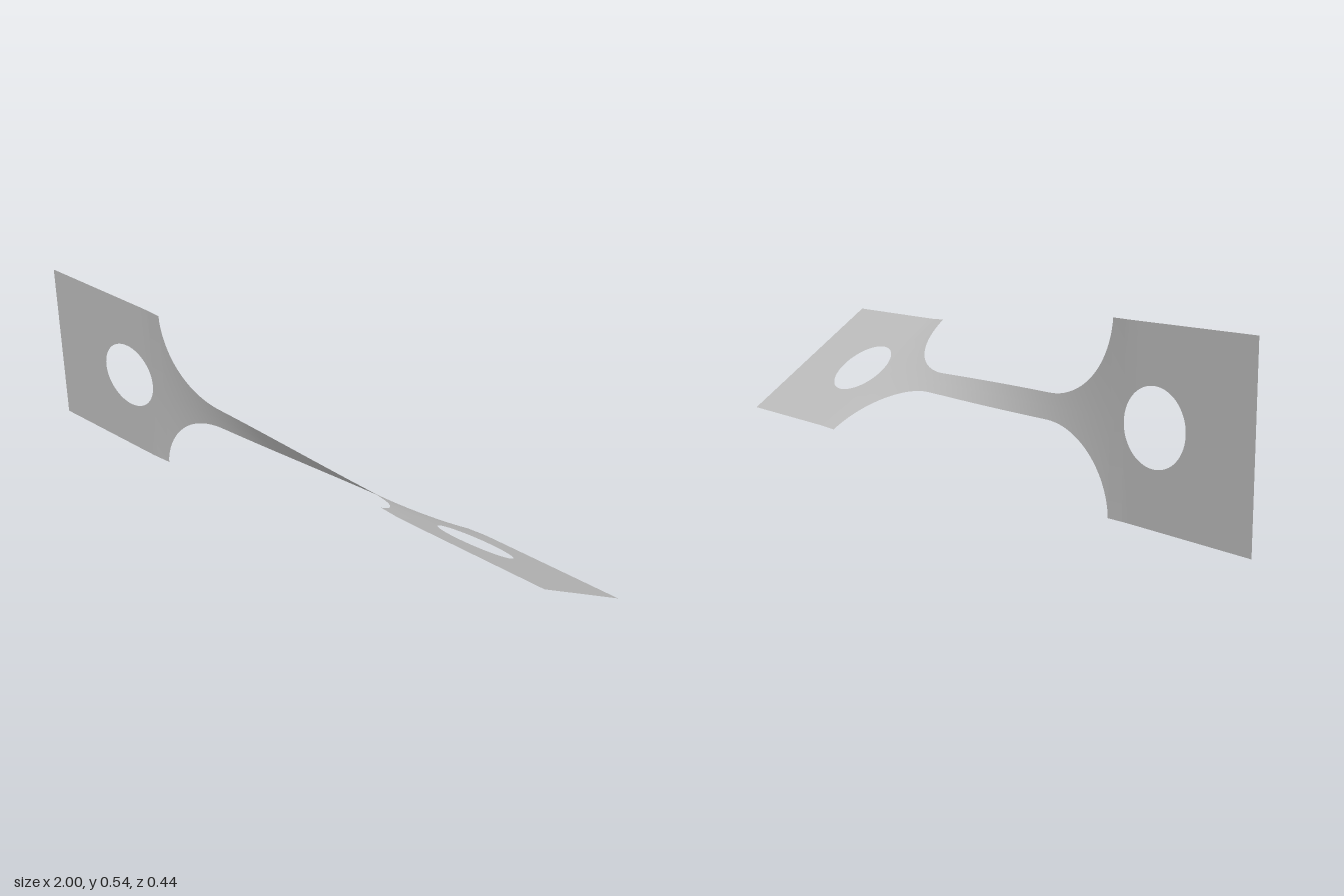
import * as THREE from 'three';
import { mergeVertices } from 'three/addons/utils/BufferGeometryUtils.js';

const PAD = 0.271, PAD_END = 0.51, NECK = 0.038;
const FILLET_X = 0.262, FILLET_R = 0.25;
const HOLE_X = 0.67, HOLE_R = 0.109;
const TWIST = THREE.MathUtils.degToRad(54.8);

// half width of the strip at |x|: neck, round fillet, then square pad
function outer(x) {
  if (x > PAD_END) return PAD;
  if (x < FILLET_X) return NECK;
  const d = x - FILLET_X;
  return Math.min(PAD, NECK + FILLET_R - Math.sqrt(FILLET_R ** 2 - d * d));
}
// half height of the bolt hole at |x|
const inner = (x) => Math.sqrt(Math.max(0, HOLE_R ** 2 - (x - HOLE_X) ** 2));

// column positions for x >= 0, denser on the fillet and around the hole
function columns() {
  const xs = [];
  for (let i = 0; i < 14; i++) xs.push((FILLET_X * i) / 14);
  const sweep = Math.asin((PAD_END - FILLET_X) / FILLET_R);
  for (let i = 0; i < 24; i++) xs.push(FILLET_X + FILLET_R * Math.sin((sweep * i) / 24));
  xs.push(PAD_END, PAD_END + 0.0005);
  for (let i = 0; i <= 36; i++) xs.push(HOLE_X - HOLE_R * Math.cos((Math.PI * i) / 36));
  xs.push(0.85, 0.92, 1);
  return xs;
}

function twistedStrip() {
  const half = columns();
  const xs = [...half.slice(1).reverse().map((x) => -x), ...half];
  const rows = 6, pos = [], index = [];
  for (const side of [1, -1]) {
    const base = pos.length / 3;
    xs.forEach((x, i) => {
      const a = inner(Math.abs(x)), b = outer(Math.abs(x));
      const angle = TWIST * THREE.MathUtils.smoothstep(x, -0.6, 0.6);
      for (let j = 0; j <= rows; j++) {
        const w = side * THREE.MathUtils.lerp(a, b, j / rows);
        pos.push(x, PAD + w * Math.cos(angle), w * Math.sin(angle));
        if (i === 0 || j === 0) continue;
        const d = base + i * (rows + 1) + j, c = d - 1, p = d - rows - 1, q = p - 1;
        if (side > 0) index.push(q, c, d, q, d, p);
        else index.push(q, d, c, q, p, d);
      }
    });
  }
  const g = new THREE.BufferGeometry();
  g.setAttribute('position', new THREE.Float32BufferAttribute(pos, 3));
  g.setIndex(index);
  const merged = mergeVertices(g, 1e-5);
  merged.computeVertexNormals();
  return merged;
}

export function createModel() {
  const metal = new THREE.MeshStandardMaterial({ color: 0xc0c0c0, side: THREE.DoubleSide });
  metal.name = 'light grey metal';
  const group = new THREE.Group();
  group.name = 'twistedStrap';
  const strip = new THREE.Mesh(twistedStrip(), metal);
  strip.name = 'twistedStrip';
  group.add(strip);
  return group;
}
